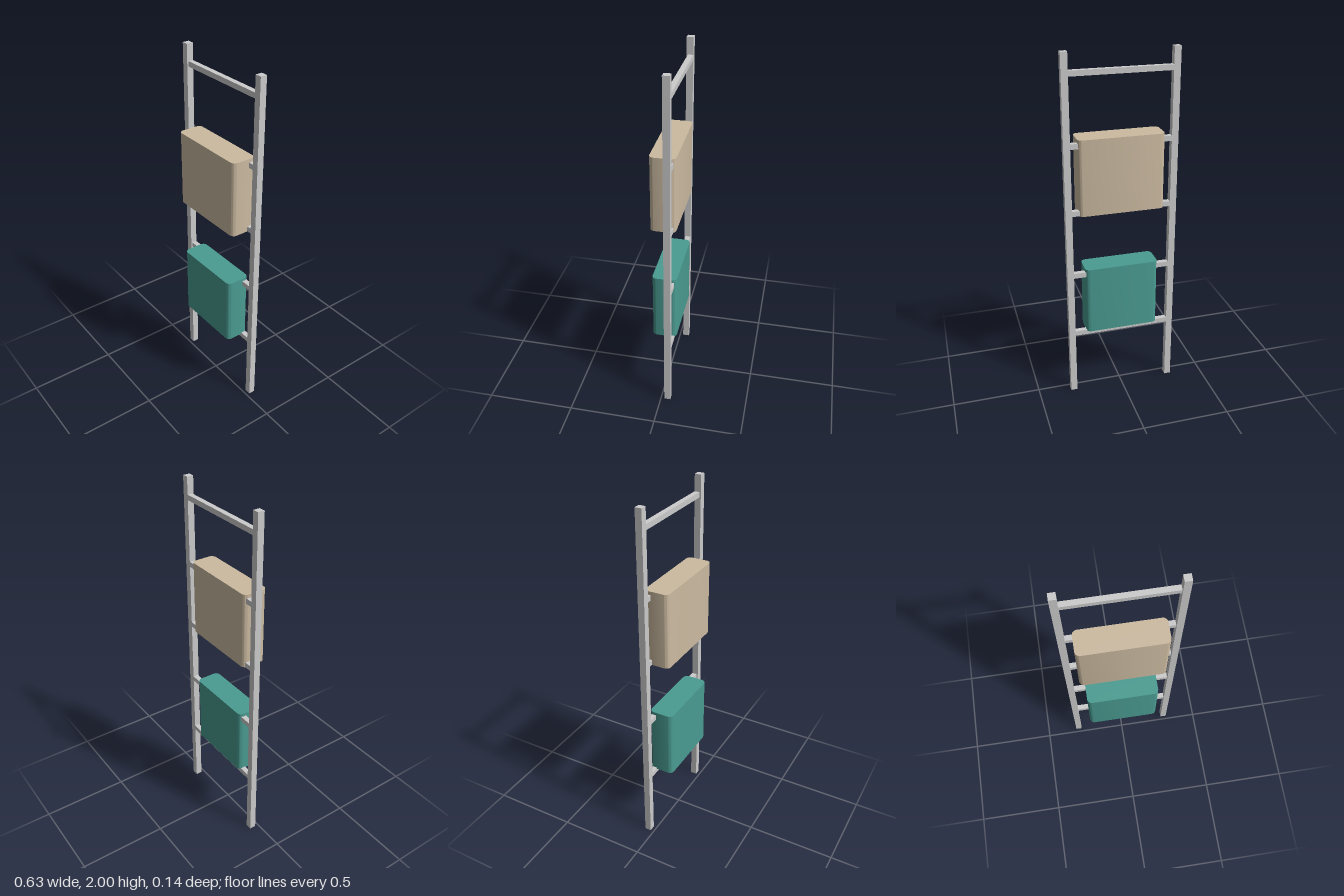
import * as THREE from 'three';
import { toCreasedNormals } from 'three/addons/utils/BufferGeometryUtils.js';

const frameMaterial = new THREE.MeshStandardMaterial({ color: 0xcccccc });

function addBar(parent, name, size, position) {
  const bar = new THREE.Mesh(new THREE.BoxGeometry(...size), frameMaterial);
  bar.name = name;
  bar.position.set(...position);
  parent.add(bar);
}

// Folded blanket: rounded rectangle in plan, extruded upwards
function makeBlanket(name, width, bottom, height, color) {
  const w = width / 2, d = 0.0695, r = 0.027;
  const plan = new THREE.Shape();
  plan.absarc(w - r, d - r, r, 0, Math.PI / 2);
  plan.absarc(r - w, d - r, r, Math.PI / 2, Math.PI);
  plan.absarc(r - w, r - d, r, Math.PI, Math.PI * 1.5);
  plan.absarc(w - r, r - d, r, Math.PI * 1.5, Math.PI * 2);
  plan.closePath();
  const geometry = new THREE.ExtrudeGeometry(plan, { depth: height, bevelEnabled: false, curveSegments: 8 });
  geometry.rotateX(-Math.PI / 2);
  const blanket = new THREE.Mesh(toCreasedNormals(geometry, 0.6), new THREE.MeshStandardMaterial({ color }));
  blanket.name = name;
  blanket.position.y = bottom;
  return blanket;
}

export function createModel() {
  const model = new THREE.Group();
  model.name = 'blanketLadder';

  // Square uprights
  for (const [name, side] of [['leftRail', 1], ['rightRail', -1]]) {
    addBar(model, name, [0.037, 2, 0.037], [side * 0.2945, 1, -0.0385]);
  }

  // Rungs, flush with the back of the rails
  for (let i = 0; i < 5; i++) {
    addBar(model, `rung${i + 1}`, [0.552, 0.029, 0.029], [0, 0.393 + i * 0.375, -0.0425]);
  }

  // Blankets hung on the rungs
  model.add(makeBlanket('upperBlanket', 0.476, 1.127, 0.425, 0xccbba1));
  model.add(makeBlanket('lowerBlanket', 0.42, 0.4, 0.4, 0x4a9c92));
  return model;
}
